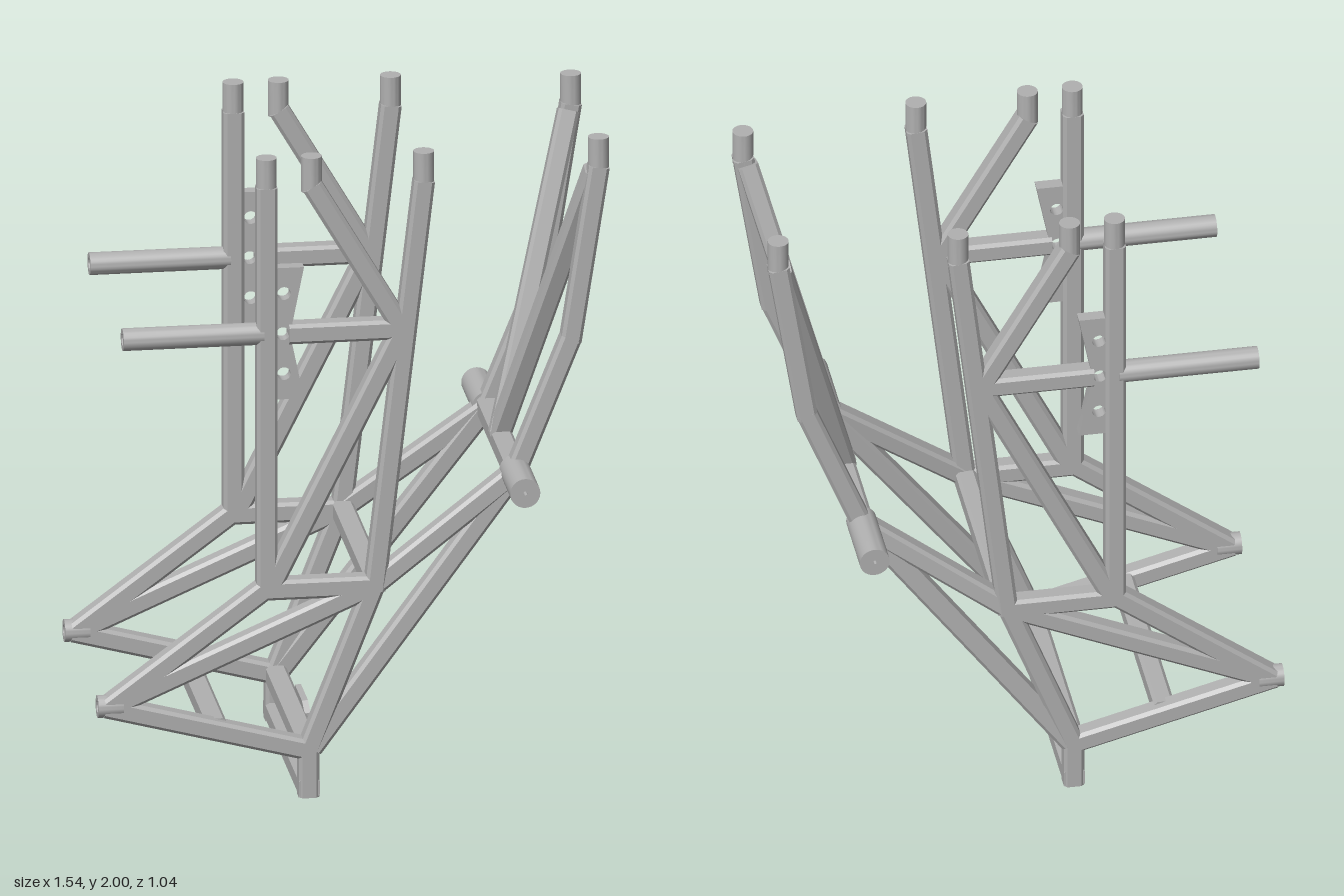
import * as THREE from 'three';
import { toCreasedNormals } from 'three/addons/utils/BufferGeometryUtils.js';

const V = (x, y, z) => new THREE.Vector3(x, y, z);

export function createModel() {
  const model = new THREE.Group();
  const steel = new THREE.MeshStandardMaterial({ color: 0xb0b0b0 });
  steel.name = 'bare steel';

  const add = (geometry, name) => {
    const mesh = new THREE.Mesh(geometry, steel);
    mesh.name = name;
    model.add(mesh);
    return mesh;
  };

  // Square section with chamfered corners
  const h = 0.031, c = 0.021;
  const squareSection = new THREE.Shape(
    [[h, -c], [h, c], [c, h], [-c, h], [-h, c], [-h, -c], [-c, -h], [c, -h]]
      .map(([x, y]) => new THREE.Vector2(x, y)));

  const roundSection = (r, bore = 0) => {
    const s = new THREE.Shape().absarc(0, 0, r, 0, Math.PI * 2, false);
    if (bore) s.holes.push(new THREE.Path().absarc(0, 0, bore, 0, Math.PI * 2, true));
    return s;
  };

  // Sweeps a section straight from a to b, keeping one face towards the hint
  const bar = (name, a, b, section = squareSection, hint = V(0, 0, 1)) => {
    const dir = b.clone().sub(a);
    const length = dir.length();
    dir.normalize();
    if (Math.abs(dir.dot(hint)) > 0.95) hint = V(0, 1, 0);
    const side = hint.clone().cross(dir).normalize();
    const up = dir.clone().cross(side);
    const g = new THREE.ExtrudeGeometry(section, { depth: length, bevelEnabled: false, curveSegments: 14 });
    g.applyMatrix4(new THREE.Matrix4().makeBasis(side, up, dir).setPosition(a));
    return add(toCreasedNormals(g, 0.6), name);
  };

  const W = 0.353; // half width of the side frames

  for (const s of [1, -1]) {
    const p = (x, y, z = W) => V(x, y, z * s);
    const label = s > 0 ? 'left' : 'right';
    const tube = (name, a, b, section, hint) => bar(label + name, a, b, section, hint);

    // Upright frame
    tube('RearPost', p(-0.27, 0.65), p(-0.27, 1.91));
    tube('MainPost', p(0.052, 0.64), p(0.20, 1.91));
    tube('UpperBrace', p(0.135, 1.45), p(-0.135, 1.91));
    tube('LongDiagonal', p(0.135, 1.45), p(-0.26, 0.66));
    tube('MiddleRail', p(-0.205, 1.452), p(0.135, 1.452));
    tube('LowerRail', p(-0.27, 0.655), p(0.052, 0.655));

    // Lower triangle frame
    tube('TailUpperStrut', p(-0.27, 0.66), p(-0.74, 0.31));
    tube('TailMiddleStrut', p(0.052, 0.655), p(-0.74, 0.31));
    tube('TailLowerStrut', p(-0.75, 0.31), p(-0.145, 0.15));
    tube('FootStrut', p(0.052, 0.655), p(-0.145, 0.15));
    tube('Foot', p(-0.145, 0.005), p(-0.145, 0.16));

    // Outrigger frame, bent upwards
    tube('ShoulderStrut', p(0.052, 0.655), p(0.48, 0.97, 0.305));
    tube('LongStrut', p(-0.135, 0.155), p(0.48, 0.97, 0.305));
    tube('BentPostLower', p(0.48, 0.97, 0.305), p(0.648, 1.385, 0.30));
    tube('BentPostUpper', p(0.645, 1.37, 0.30), p(0.73, 1.91, 0.295));
    tube('VeeStrut', p(0.475, 0.985, 0), p(0.72, 1.89, 0.28), squareSection, V(1, 0, 0));

    // Round pegs on the four tube tops
    for (const [x, z] of [[-0.27, W], [-0.135, W], [0.2, W], [0.73, 0.295]]) {
      tube('TopPeg', p(x, 1.89, z), p(x, 2, z), roundSection(0.031));
    }

    // Round arms and bushes
    tube('RoundArm', p(-0.7, 1.452), p(-0.28, 1.452), roundSection(0.034, 0.018));
    tube('TailBush', p(-0.775, 0.31), p(-0.70, 0.31), roundSection(0.034, 0.018));
    tube('AxleStub', p(0.48, 0.972, 0.29), p(0.48, 0.972, 0.52), roundSection(0.045, 0.006));

    // Drilled bracket, waisted at the middle rail
    const bracket = new THREE.Shape(
      [[-0.245, 1.25], [-0.16, 1.25], [-0.195, 1.42], [-0.195, 1.485], [-0.16, 1.66], [-0.245, 1.66]]
        .map(([x, y]) => new THREE.Vector2(x, y)));
    for (const [x, y] of [[-0.22, 1.33], [-0.223, 1.455], [-0.22, 1.58]]) {
      bracket.holes.push(new THREE.Path().absarc(x, y, 0.02, 0, Math.PI * 2, true));
    }
    const plate = new THREE.ExtrudeGeometry(bracket, { depth: 0.04, bevelEnabled: false });
    plate.translate(0, 0, s * W - 0.02);
    add(toCreasedNormals(plate, 0.6), label + 'Bracket');
  }

  // Cross bars joining the two sides
  for (const [name, x, y, z] of [
    ['axleCrossBar', 0.48, 0.972, 0.31],
    ['middleCrossBar', 0.055, 0.655, W],
    ['tailCrossBar', -0.42, 0.225, W],
    ['footUpperCrossBar', -0.145, 0.15, W],
    ['footLowerCrossBar', -0.145, 0.034, 0.38],
  ]) bar(name, V(x, y, -z), V(x, y, z));

  // Eight-sided mounting plate with two holes, on the foot cross bar
  const mount = new THREE.Shape(
    [[0.108, -0.025], [0.108, 0.025], [0.075, 0.054], [-0.075, 0.054],
      [-0.108, 0.025], [-0.108, -0.025], [-0.075, -0.054], [0.075, -0.054]]
      .map(([x, y]) => new THREE.Vector2(x, y)));
  for (const x of [-0.063, 0.063]) {
    mount.holes.push(new THREE.Path().absarc(x, 0, 0.026, 0, Math.PI * 2, true));
  }
  const mountGeometry = new THREE.ExtrudeGeometry(mount, { depth: 0.018, bevelEnabled: false });
  mountGeometry.rotateY(Math.PI / 2);
  mountGeometry.rotateZ(0.12);
  mountGeometry.translate(-0.118, 0.15, 0);
  add(toCreasedNormals(mountGeometry, 0.6), 'mountingPlate');

  return model;
}
